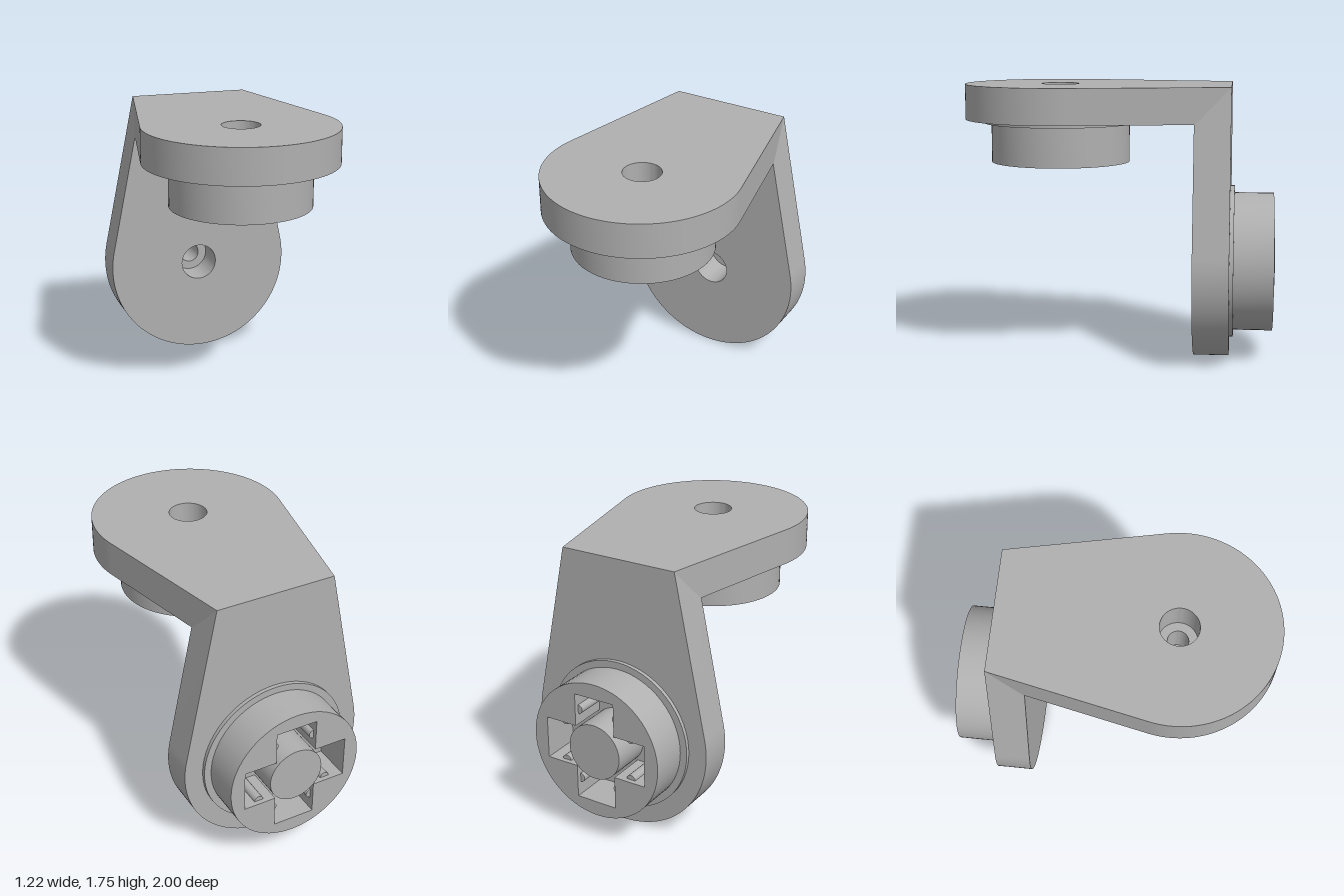
import * as THREE from 'three';
import { toCreasedNormals } from 'three/addons/utils/BufferGeometryUtils.js';

const R = 0.61;        // rounded end of each plate
const THICK = 0.225;   // plate thickness
const HALF_TOP = 0.39; // half width of a plate at the corner

const crease = (g) => toCreasedNormals(g, 0.5);

function circleHole(r) {
  const p = new THREE.Path();
  p.absarc(0, 0, r, 0, Math.PI * 2, true);
  return p;
}

// Teardrop plate: round end at the origin, straight edge at y = length
function plateGeometry(length) {
  const a = Math.atan2(length, HALF_TOP) - Math.acos(R / Math.hypot(length, HALF_TOP));
  const s = new THREE.Shape();
  s.moveTo(HALF_TOP, length);
  s.lineTo(-HALF_TOP, length);
  s.absarc(0, 0, R, Math.PI - a, Math.PI * 2 + a, false);
  s.closePath();
  s.holes.push(circleHole(0.12));
  const g = new THREE.ExtrudeGeometry(s, { depth: THICK, bevelEnabled: false, curveSegments: 40 });
  return crease(g.translate(0, 0, -THICK));
}

// Round hub with a cross-shaped pocket
function hubGeometry() {
  const s = new THREE.Shape();
  s.absarc(0, 0, 0.445, 0, Math.PI * 2, false);
  const w = 0.137, e = 0.35;
  const cross = [[w, w], [w, e], [-w, e], [-w, w], [-e, w], [-e, -w],
    [-w, -w], [-w, -e], [w, -e], [w, -w], [e, -w], [e, w]];
  s.holes.push(new THREE.Path(cross.map(([x, y]) => new THREE.Vector2(x, y)).reverse()));
  const g = new THREE.ExtrudeGeometry(s, { depth: 0.25, bevelEnabled: false, curveSegments: 32 });
  return crease(g.translate(0, 0, -0.5));
}

// Flange disc and centre post with a blind bore
function postGeometry() {
  const profile = [[0, 0.45], [0.065, 0.45], [0.065, THICK], [0.49, THICK],
    [0.49, 0.25], [0.18, 0.25], [0.18, 0.51], [0, 0.51]];
  const g = new THREE.LatheGeometry(profile.map(([x, y]) => new THREE.Vector2(x, y)), 64);
  return crease(g.rotateX(-Math.PI / 2));
}

export function createModel() {
  const model = new THREE.Group();
  model.name = 'angleBracket';
  const grey = new THREE.MeshStandardMaterial({ color: 0xb0b0b0 });
  grey.name = 'grey';

  const hubGeo = hubGeometry();
  const postGeo = postGeometry();
  const ribGeo = new THREE.CylinderGeometry(0.03, 0.03, 0.22, 16).rotateX(Math.PI / 2);

  const add = (parent, geo, name) => {
    const m = new THREE.Mesh(geo, grey);
    m.name = name;
    parent.add(m);
    return m;
  };

  function arm(name, length) {
    const g = new THREE.Group();
    g.name = name;
    add(g, plateGeometry(length), 'plate');
    add(g, hubGeo, 'hub');
    add(g, postGeo, 'flangeAndPost');
    // Grip ribs on the side walls of the four slots
    for (let i = 0; i < 4; i++) {
      const slot = new THREE.Group();
      slot.name = 'slotRibs';
      slot.rotation.z = i * Math.PI / 2;
      for (const side of [-1, 1]) add(slot, ribGeo, 'gripRib').position.set(side * 0.137, 0.235, -0.36);
      g.add(slot);
    }
    model.add(g);
    return g;
  }

  // Upright arm, hub facing back
  arm('uprightArm', 1.14).position.set(0, 0.615, -0.49);

  // Level arm, hub facing down
  const level = arm('levelArm', 1.1);
  level.position.set(0, 1.755, 0.385);
  level.rotation.x = -Math.PI / 2;

  return model;
}
